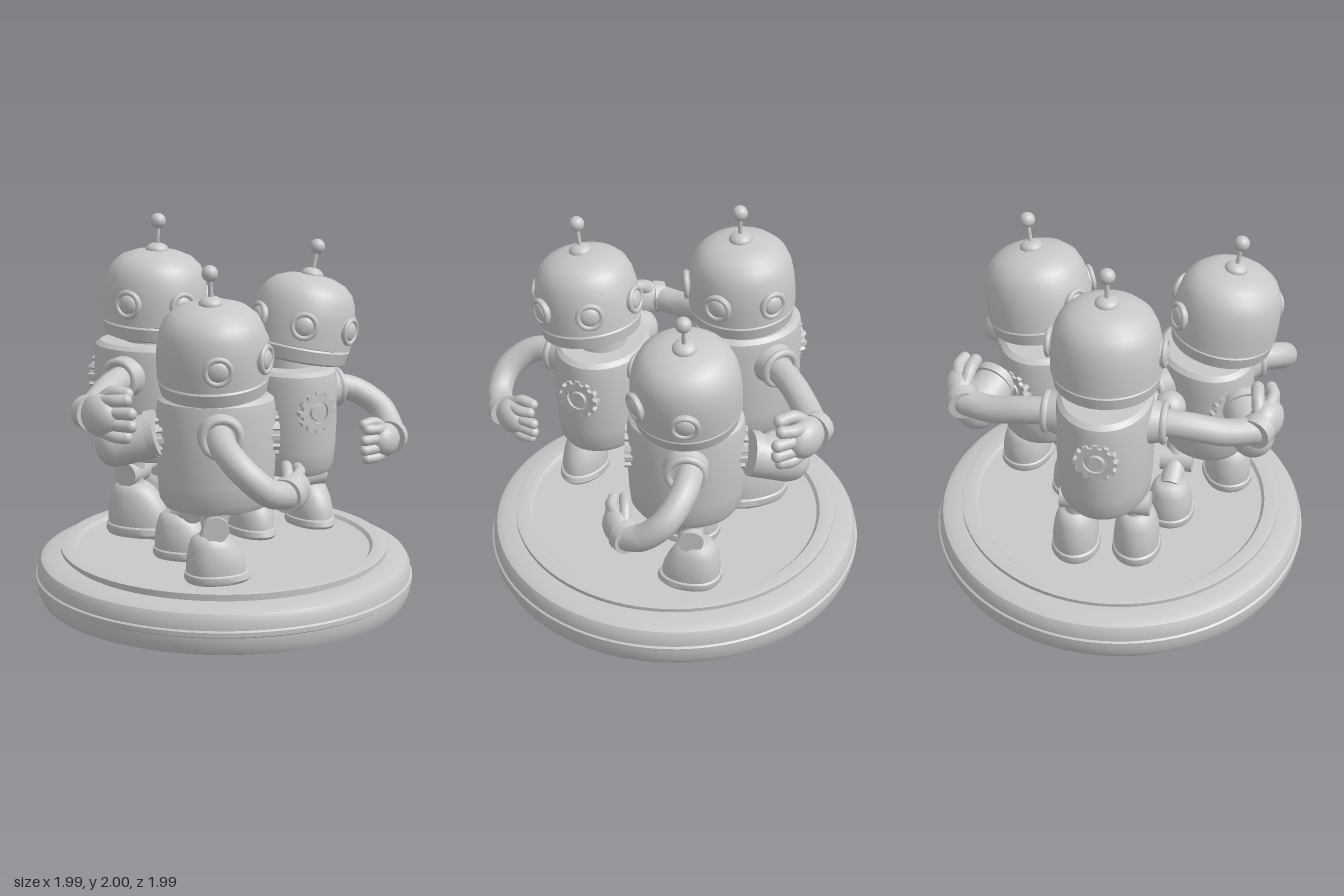
import * as THREE from 'three';
import { toCreasedNormals } from 'three/addons/utils/BufferGeometryUtils.js';

const grey = new THREE.MeshStandardMaterial({ color: 0xc8c8c8 });
grey.name = 'plain grey';
const V = (a) => new THREE.Vector3(...a);

function add(parent, name, geometry, pos = [0, 0, 0], rot = [0, 0, 0], scale = [1, 1, 1]) {
  const m = new THREE.Mesh(geometry, grey);
  m.name = name;
  m.position.set(...pos);
  m.rotation.set(...rot);
  m.scale.set(...scale);
  parent.add(m);
  return m;
}

const lathe = (pts, seg = 48) =>
  toCreasedNormals(new THREE.LatheGeometry(pts.map((p) => new THREE.Vector2(...p)), seg), 0.6);

// Straight round bar between two points
function rod(parent, name, a, b, r1, r2 = r1, seg = 20) {
  const d = V(b).sub(V(a));
  const m = add(parent, name, new THREE.CylinderGeometry(r2, r1, d.length(), seg),
    V(a).add(V(b)).multiplyScalar(0.5).toArray());
  m.quaternion.setFromUnitVectors(new THREE.Vector3(0, 1, 0), d.normalize());
}

// Curved tube with rounded ends
function tube(parent, name, pts, r, seg = 24) {
  const curve = new THREE.CatmullRomCurve3(pts.map(V));
  add(parent, name, new THREE.TubeGeometry(curve, seg, r, 16));
  for (const p of [pts[0], pts[pts.length - 1]]) add(parent, name + 'End', new THREE.SphereGeometry(r, 16, 10), p);
}

// Toothed wheel with a hub
function gear(parent, y, back) {
  const g = new THREE.Group();
  g.name = back ? 'backGear' : 'chestGear';
  const teeth = 12, shape = new THREE.Shape();
  for (let i = 0; i < teeth; i++) {
    [[-0.3, 0.092], [-0.2, 0.11], [0.2, 0.11], [0.3, 0.092]].forEach(([o, r], k) => {
      const t = ((i + o) / teeth) * Math.PI * 2;
      shape[i + k ? 'lineTo' : 'moveTo'](r * Math.cos(t), r * Math.sin(t));
    });
  }
  shape.holes.push(new THREE.Path().absarc(0, 0, 0.06, 0, Math.PI * 2, true));
  add(g, 'gearWheel', new THREE.ExtrudeGeometry(shape, { depth: 0.045, bevelEnabled: false, curveSegments: 20 }));
  add(g, 'gearHub', new THREE.CylinderGeometry(0.04, 0.05, 0.04, 20), [0, 0, 0.025], [Math.PI / 2, 0, 0]);
  g.position.set(0, y, back ? -0.262 : 0.262);
  if (back) g.rotation.y = Math.PI;
  parent.add(g);
}

// Round porthole used for eyes and ears
function porthole(parent, name, angle, y) {
  const g = new THREE.Group();
  g.name = name;
  add(g, 'socket', new THREE.CylinderGeometry(0.066, 0.075, 0.05, 24), [0, 0, 0.262], [Math.PI / 2, 0, 0]);
  add(g, 'rim', new THREE.TorusGeometry(0.062, 0.014, 10, 28), [0, 0, 0.284]);
  add(g, 'lens', new THREE.SphereGeometry(0.05, 20, 12), [0, 0, 0.283], [0, 0, 0], [1, 1, 0.45]);
  g.position.y = y;
  g.rotation.y = angle;
  parent.add(g);
}

// Palm, cuff and fingers; the fingers run along dir and curl towards bend
function hand(parent, wrist, dir, bend, size) {
  const g = new THREE.Group();
  g.name = 'hand';
  const d = V(dir).normalize(), up = new THREE.Vector3(0, 1, 0), c = V(bend).normalize();
  const at = (f, u, k) => V(wrist).addScaledVector(d, f * size).addScaledVector(up, u * size)
    .addScaledVector(c, k * size).toArray();
  rod(g, 'cuff', at(-0.03, 0, 0), at(0.02, 0, 0), 0.082, 0.088);
  const palm = add(g, 'palm', new THREE.SphereGeometry(0.09 * size, 20, 14), at(0.08, 0, 0), [0, 0, 0], [0.75, 0.95, 1.1]);
  palm.rotation.y = Math.atan2(d.x, d.z);
  for (let i = 0; i < 4; i++) {
    const u = 0.06 - i * 0.042, l = i === 0 || i === 3 ? 0.2 : 0.23;
    tube(g, 'finger', [at(0.1, u, 0), at(0.16, u * 1.15, 0.01), at(l, u * 1.2, 0.04)], 0.026 * size, 8);
  }
  tube(g, 'thumb', [at(0.05, 0.05, 0.02), at(0.1, 0.09, 0.05), at(0.16, 0.085, 0.08)], 0.027 * size, 8);
  parent.add(g);
}

// Boot: a round profile stretched forward at the toe
function boot(parent, pos, yaw, size) {
  const geo = new THREE.LatheGeometry([[0, 0], [0.118, 0], [0.127, 0.015], [0.124, 0.042], [0.116, 0.048], [0.118, 0.09],
    [0.112, 0.14], [0.102, 0.18], [0.092, 0.21], [0.07, 0.23], [0, 0.235]].map((p) => new THREE.Vector2(...p)), 32);
  const p = geo.attributes.position;
  for (let i = 0; i < p.count; i++) {
    const t = 1 - Math.min(1, p.getY(i) / 0.22);
    if (p.getZ(i) > 0) p.setZ(i, p.getZ(i) * (1 + 0.65 * Math.sqrt(t)));
  }
  add(parent, 'boot', toCreasedNormals(geo, 0.7), pos, [0, yaw, 0], [1, size, size]);
}

// Leg from hip to boot with a sideways knee joint
function leg(parent, hip, foot, yaw, size = 1) {
  const g = new THREE.Group();
  g.name = 'leg';
  boot(g, foot, yaw, size);
  const ankle = [foot[0], foot[1] + 0.2, foot[2]];
  const knee = [hip[0] * 0.6 + foot[0] * 0.4, Math.max(hip[1] - 0.06, ankle[1] + 0.04), hip[2] * 0.6 + foot[2] * 0.4];
  rod(g, 'thigh', [hip[0], hip[1] + 0.06, hip[2]], knee, 0.075, 0.06);
  rod(g, 'shin', knee, ankle, 0.055, 0.06);
  const s = [Math.cos(yaw) * 0.085, 0, -Math.sin(yaw) * 0.085];
  rod(g, 'kneeJoint', knee.map((v, i) => v - s[i]), knee.map((v, i) => v + s[i]), 0.065);
  parent.add(g);
  return knee;
}

// Upright torso facing local +z
function torso(parent, pos, yaw, h) {
  const g = new THREE.Group();
  g.name = 'body';
  g.position.set(...pos);
  g.rotation.y = yaw;
  parent.add(g);
  add(g, 'torso', lathe([[0, 0], [0.2, 0], [0.245, 0.015], [0.27, 0.055], [0.28, 0.15], [0.286, 0.3], [0.284, h - 0.07],
    [0.276, h - 0.025], [0.25, h - 0.005], [0.14, h], [0, h]]), [0, 0, 0], [0, 0, 0], [0.85, 1, 1.04]);
  add(g, 'neck', new THREE.CylinderGeometry(0.13, 0.14, 0.14, 32), [0, h + 0.03, 0.02]);
  for (const s of [-1, 1]) {
    add(g, 'shoulderCollar', new THREE.CylinderGeometry(0.095, 0.12, 0.1, 28), [s * 0.25, h - 0.16, 0], [0, 0, -s * Math.PI / 2]);
    add(g, 'shoulderRing', new THREE.TorusGeometry(0.09, 0.02, 10, 28), [s * 0.295, h - 0.16, 0], [0, Math.PI / 2, 0]);
  }
  gear(g, h - 0.21, false);
  gear(g, h - 0.21, true);
}

// Tilted domed head with antenna, facing local +z
function head(parent, pos, yaw, tiltX, tiltZ) {
  const tilt = new THREE.Group(), g = new THREE.Group();
  tilt.name = 'head';
  tilt.position.set(...pos);
  tilt.rotation.set(tiltX, 0, tiltZ);
  g.rotation.y = yaw;
  tilt.add(g);
  parent.add(tilt);
  add(g, 'jaw', lathe([[0, 0], [0.23, 0], [0.26, 0.012], [0.272, 0.075], [0.264, 0.085], [0.264, 0.1]]));
  add(g, 'dome', lathe([[0.26, 0.083], [0.275, 0.088], [0.275, 0.18], [0.27, 0.25], [0.256, 0.32], [0.23, 0.375],
    [0.185, 0.415], [0.12, 0.44], [0.05, 0.45], [0, 0.452]]));
  for (const s of [-1, 1]) {
    porthole(g, 'eye', s * 0.53, 0.2);
    porthole(g, 'ear', s * Math.PI / 2, 0.2);
  }
  add(g, 'antennaCap', new THREE.SphereGeometry(0.06, 24, 12), [0, 0.45, 0], [0, 0, 0], [1, 0.6, 1]);
  rod(g, 'antennaRod', [0, 0.46, 0], [0, 0.59, 0], 0.011);
  add(g, 'antennaBall', new THREE.SphereGeometry(0.04, 20, 14), [0, 0.6, 0]);
}

export function createModel() {
  const root = new THREE.Group();
  root.name = 'robotTrioOnBase';

  // Round stand with a thin raised rim around the floor the robots stand on
  add(root, 'base', lathe([[0, 0], [0.93, 0], [0.965, 0.015], [0.985, 0.06], [0.985, 0.105], [0.995, 0.112], [0.995, 0.135],
    [0.985, 0.142], [0.982, 0.19], [0.965, 0.22], [0.93, 0.236], [0.835, 0.24], [0.835, 0.258], [0.86, 0.262],
    [0.86, 0.282], [0.84, 0.287], [0.785, 0.285], [0.77, 0.268], [0, 0.265]], 80));

  // Tall robot
  const tall = new THREE.Group();
  tall.name = 'tallRobot';
  root.add(tall);
  torso(tall, [-0.455, 0.7, 0], Math.PI / 2, 0.63);
  head(tall, [-0.415, 1.36, 0], Math.PI / 2, 0, -0.05);
  const tallKnees = [1, -1].map((s) =>
    leg(tall, [-0.47, 0.7, s * 0.14], [-0.46, s > 0 ? 0.315 : 0.285, s * 0.16], Math.PI / 2, 1.18));
  rod(tall, 'hipBar', ...tallKnees, 0.035);
  for (const s of [1, -1]) {
    tube(tall, 'arm', [[-0.45, 1.17, s * 0.26], [-0.44, 1.15, s * 0.42], [-0.41, 1.11, s * 0.59], [-0.36, 1.1, s * 0.73]], 0.07);
    hand(tall, [-0.36, 1.1, s * 0.745], [0.9, 0.02, s * 0.36], [0.3, 0, -s], 1.22);
  }

  // Two smaller robots, mirrored across the middle
  for (const s of [1, -1]) {
    const bot = new THREE.Group();
    bot.name = s > 0 ? 'frontRobot' : 'rearRobot';
    root.add(bot);
    const yaw = Math.PI / 2 + s * 0.58;
    const bx = 0.18, bz = s > 0 ? 0.425 : -0.395;
    torso(bot, [bx, 0.61, bz], yaw, 0.58);
    head(bot, [0.205, 1.215, s > 0 ? 0.495 : -0.44], yaw, s * 0.14, s > 0 ? -0.04 : -0.13);

    const outer = leg(bot, [bx + 0.07, 0.61, bz + s * 0.11], [0.22, 0.275, s * 0.57], yaw);
    const inner = leg(bot, [bx - 0.07, 0.61, bz - s * 0.11],
      s > 0 ? [-0.12, 0.275, 0.29] : [0.02, 0.275, -0.25], s > 0 ? Math.PI / 2 : yaw);
    rod(bot, 'hipBar', outer, inner, 0.032);

    // Outer arm bends round to the front
    const elbow = s > 0 ? 0.815 : -0.78;
    tube(bot, 'outerArm', [[0.31, 1.04, s * 0.64], [0.42, 1.0, elbow - s * 0.04], [0.55, 0.91, elbow],
      [0.64, 0.82, elbow - s * 0.06], [0.68, 0.79, s * 0.65]], 0.068);
    hand(bot, [0.68, 0.79, s * 0.64], [-0.04, 0, -s], [-1, 0, 0], 1.05);

    // Inner arm reaches across behind the neighbour
    const drop = s > 0 ? 0.17 : 0;
    tube(bot, 'innerArm', [[0.03, 1.05, s * 0.2], [-0.06, 1.05 - drop * 0.8, s * 0.08], [-0.09, 1.05 - drop, -s * 0.05],
      [-0.14, 1.03 - drop * 0.7, -s * 0.19]], 0.065);
    add(bot, 'innerHand', new THREE.SphereGeometry(0.085, 20, 14),
      [-0.15, 1.03 - drop * 0.6, s > 0 ? -0.22 : 0.28]);

    // Rounded drum held behind the back
    rod(bot, 'drum', [-0.05, 1.0, s * 0.65], [-0.22, 0.95, s * 0.72], 0.11, 0.115, 28);
    add(bot, 'drumEnd', new THREE.SphereGeometry(0.115, 24, 14), [-0.22, 0.952, s * 0.718], [0, 0, 0], [0.9, 1, 0.95]);
    rod(bot, 'drumCollar', [-0.03, 1.015, s * 0.645], [-0.07, 1.005, s * 0.66], 0.115, 0.115, 28);
  }
  return root;
}
